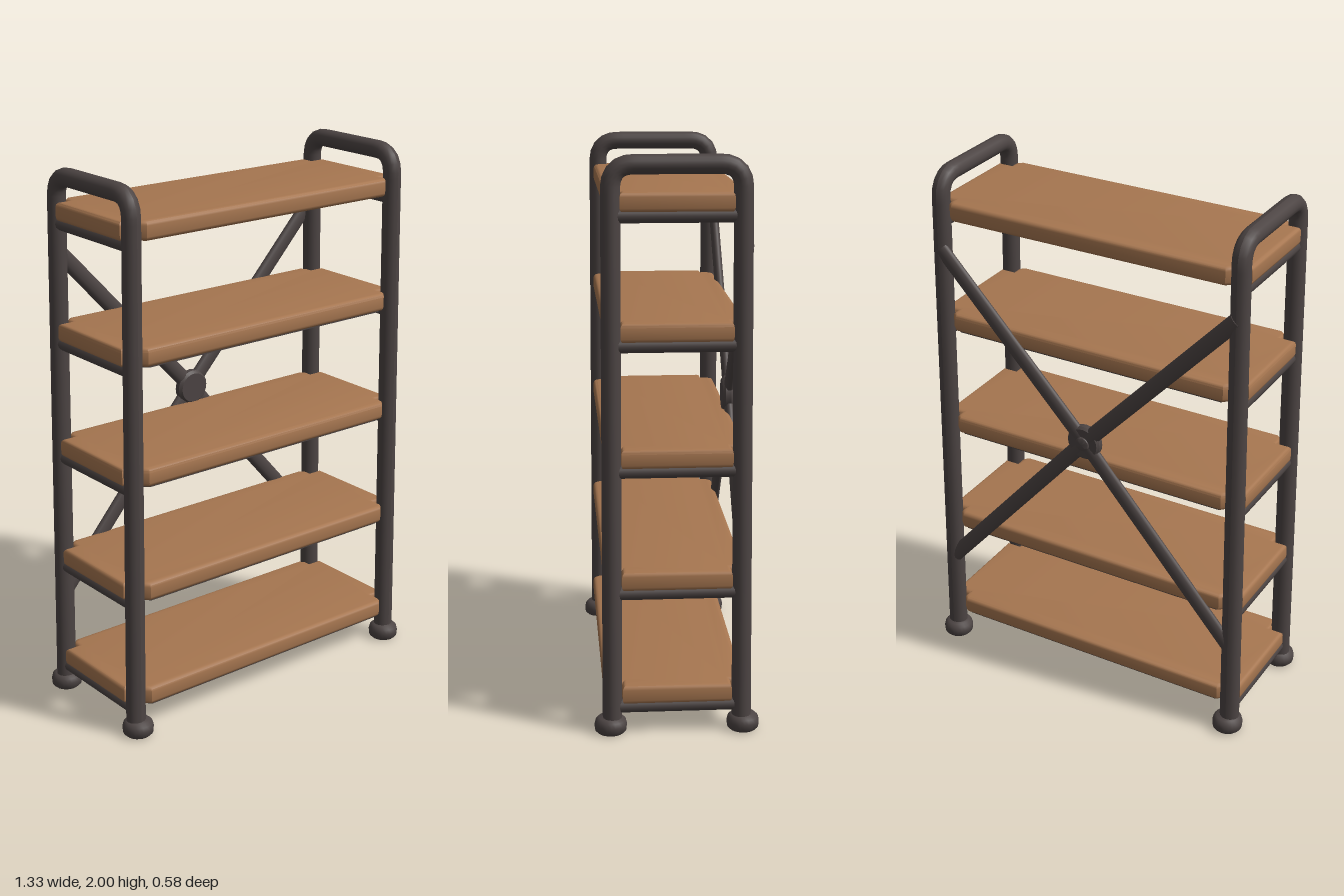
import * as THREE from 'three';
import { toCreasedNormals } from 'three/addons/utils/BufferGeometryUtils.js';

const wood = new THREE.MeshStandardMaterial({ color: 0xa67650 });
wood.name = 'warm wood';
const metal = new THREE.MeshStandardMaterial({ color: 0x4c4443 });
metal.name = 'dark metal';

const slope = (y) => 1 - y / 2; // 1 at the floor, 0 at the top
const legX = (y) => 0.584 + 0.03 * slope(y);

function add(parent, name, geometry, material) {
  const mesh = new THREE.Mesh(geometry, material);
  mesh.name = name;
  parent.add(mesh);
  return mesh;
}

// Hoop of two legs and a top rail, leaning and thickening towards the floor
function hoopGeometry(side) {
  const z = 0.2195, top = 1.967, r = 0.068;
  const v = (y, zz) => new THREE.Vector3(0, y, zz);
  const path = new THREE.CurvePath();
  path.add(new THREE.LineCurve3(v(0.02, z), v(top - r, z)));
  path.add(new THREE.QuadraticBezierCurve3(v(top - r, z), v(top - 0.005, z - 0.005), v(top, z - r)));
  path.add(new THREE.LineCurve3(v(top, z - r), v(top, r - z)));
  path.add(new THREE.QuadraticBezierCurve3(v(top, r - z), v(top - 0.005, 0.005 - z), v(top - r, -z)));
  path.add(new THREE.LineCurve3(v(top - r, -z), v(0.02, -z)));
  const g = new THREE.TubeGeometry(path, 180, 0.033, 16);
  const p = g.attributes.position;
  for (let i = 0; i < p.count; i++) {
    const t = slope(p.getY(i));
    p.setX(i, p.getX(i) * (1 + 0.12 * t) + side * legX(p.getY(i)));
    p.setZ(i, p.getZ(i) * (1 + 0.03 * t));
  }
  g.computeVertexNormals();
  return g;
}

// Shelf board with notched corners that clear the four legs
function boardGeometry(y, height, bevel, inset) {
  const t = slope(y);
  const front = 0.237 + 0.018 * t - inset, back = -0.236 + inset;
  const inner = legX(y) - 0.031 - inset, outer = legX(y) + 0.024 - inset;
  const ledge = 0.19 - inset;
  const corner = [[inner - 0.02, front], [inner, front - 0.02], [inner, ledge], [outer, ledge]];
  const rear = [[outer, -ledge], [inner, -ledge], [inner, back + 0.02], [inner - 0.02, back]];
  const half = [...corner, ...rear];
  const outline = [...half, ...half.map(([x, z]) => [-x, z]).reverse()];
  const shape = new THREE.Shape(outline.map(([x, z]) => new THREE.Vector2(x, -z)));
  const g = new THREE.ExtrudeGeometry(shape, {
    depth: height - 2 * bevel, bevelEnabled: bevel > 0,
    bevelSize: bevel, bevelThickness: bevel, bevelOffset: -bevel, bevelSegments: 3,
  });
  g.rotateX(-Math.PI / 2).translate(0, y + bevel, 0);
  return toCreasedNormals(g, 0.7);
}

export function createModel() {
  const model = new THREE.Group();
  model.name = 'shelfRack';

  // Side hoops and rounded feet
  const footProfile = [[0, 0], [0.046, 0], [0.055, 0.009], [0.057, 0.03], [0.053, 0.046], [0.042, 0.056], [0, 0.058]]
    .map(([x, y]) => new THREE.Vector2(x, y));
  const footGeometry = toCreasedNormals(new THREE.LatheGeometry(footProfile, 24), 0.9);
  for (const side of [1, -1]) {
    const name = side > 0 ? 'left' : 'right';
    add(model, name + 'Hoop', hoopGeometry(side), metal);
    for (const z of [0.232, -0.232]) {
      add(model, name + (z > 0 ? 'Front' : 'Back') + 'Foot', footGeometry, metal).position.set(side * 0.609, 0, z);
    }
  }

  // Shelves, dark underside plates and the rungs that carry them
  [0.107, 0.517, 0.947, 1.378, 1.81].forEach((y, i) => {
    const shelf = new THREE.Group();
    shelf.name = 'shelf' + (i + 1);
    model.add(shelf);
    add(shelf, 'board', boardGeometry(y, 0.068, 0.015, 0), wood);
    if (i < 4) add(shelf, 'undersidePlate', boardGeometry(y - 0.004, 0.006, 0, 0.012), metal);
    for (const side of [1, -1]) {
      const rung = add(shelf, 'rung', new THREE.CylinderGeometry(0.024, 0.024, 0.43, 12), metal);
      rung.rotation.x = Math.PI / 2;
      rung.position.set(side * legX(y), y - 0.011, 0);
    }
  });

  // Crossed back braces meeting at a hub
  const hubY = 1.07, braceZ = -0.238;
  for (const side of [1, -1]) {
    for (const [x, y] of [[0.585, 1.7], [0.6, 0.38]]) {
      const dx = side * x, dy = y - hubY;
      const brace = add(model, 'brace', new THREE.CylinderGeometry(0.03, 0.03, Math.hypot(dx, dy), 14), metal);
      brace.scale.z = 0.6;
      brace.position.set(dx / 2, hubY + dy / 2, braceZ);
      brace.rotation.z = -Math.atan2(dx, dy);
    }
  }
  const hubProfile = [[0, -0.022], [0.056, -0.022], [0.066, -0.012], [0.066, 0.008], [0.058, 0.017],
    [0.028, 0.018], [0.026, 0.024], [0.018, 0.028], [0, 0.029]].map(([x, y]) => new THREE.Vector2(x, y));
  const hub = add(model, 'braceHub', toCreasedNormals(new THREE.LatheGeometry(hubProfile, 24), 0.7), metal);
  hub.rotation.x = -Math.PI / 2;
  hub.position.set(0, hubY, -0.236);

  return model;
}
